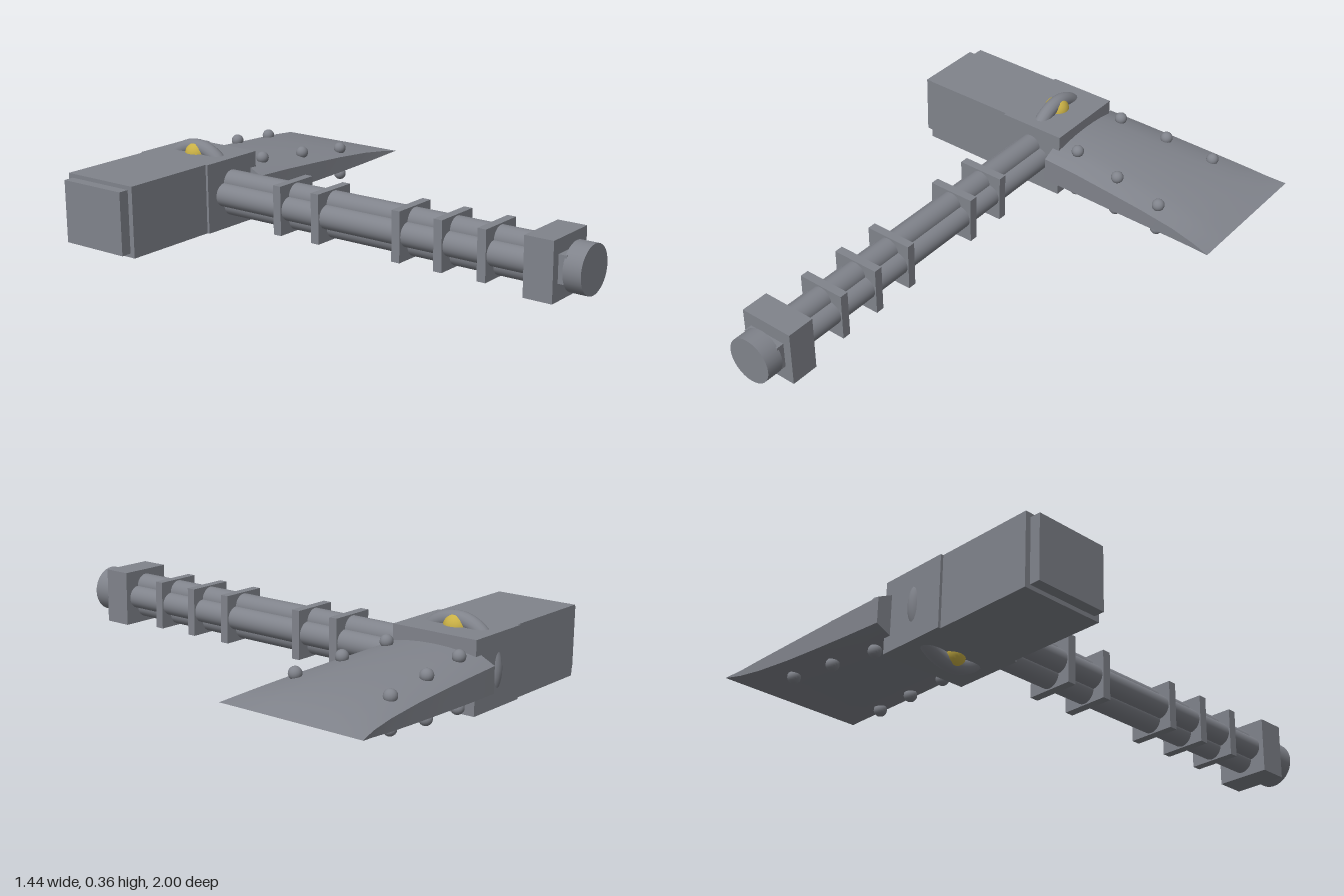
import * as THREE from 'three';
import { toCreasedNormals } from 'three/addons/utils/BufferGeometryUtils.js';

const AX = -0.168, AY = 0.188, HZ = -0.72; // shaft axis and head centre

// Blade: lens-shaped cross-sections swept along x to a sharp edge
function bladeGeometry() {
  // x, back z, front z, half thickness at the middle
  const stations = [
    [-0.06, -0.945, -0.5, 0.092], [0.1, -0.952, -0.493, 0.084], [0.25, -0.958, -0.483, 0.073],
    [0.4, -0.965, -0.473, 0.06], [0.55, -0.975, -0.46, 0.041], [0.65, -0.985, -0.445, 0.02],
    [0.72, -1.0, -0.43, 0.0005],
  ];
  const n = 9, ring = n * 2, pos = [], idx = [];
  for (const [x, z0, z1, h] of stations) {
    for (let i = 0; i < ring; i++) {
      const top = i < n, t = (top ? i : ring - 1 - i) / (n - 1);
      const y = h * (0.52 + 0.48 * Math.sqrt(Math.sin(Math.PI * t) + 1e-9));
      pos.push(x, AY + (top ? y : -y), z0 + (z1 - z0) * t);
    }
  }
  for (let s = 0; s < stations.length - 1; s++) {
    for (let i = 0; i < ring; i++) {
      const j = (i + 1) % ring, a = s * ring + i, b = s * ring + j;
      idx.push(a, b, a + ring, b, b + ring, a + ring);
    }
  }
  // Close the root
  const c = pos.length / 3;
  pos.push(-0.06, AY, HZ);
  for (let i = 0; i < ring; i++) idx.push(c, (i + 1) % ring, i);
  const g = new THREE.BufferGeometry();
  g.setAttribute('position', new THREE.Float32BufferAttribute(pos, 3));
  g.setIndex(idx);
  return toCreasedNormals(g, 0.4);
}

export function createModel() {
  const model = new THREE.Group();
  const steel = new THREE.MeshStandardMaterial({ color: 0x80838b });
  steel.name = 'steel grey';
  const gold = new THREE.MeshStandardMaterial({ color: 0xc9b045 });
  gold.name = 'gold';

  const add = (name, geo, mat, x, y, z) => {
    const m = new THREE.Mesh(geo, mat);
    m.name = name;
    m.position.set(x, y, z);
    model.add(m);
    return m;
  };
  // Box given by its extents
  const box = (name, x0, x1, y0, y1, z0, z1) =>
    add(name, new THREE.BoxGeometry(x1 - x0, y1 - y0, z1 - z0), steel,
      (x0 + x1) / 2, (y0 + y1) / 2, (z0 + z1) / 2);
  // Cylinder along z
  const rod = (name, r, x, y, z0, z1) =>
    add(name, new THREE.CylinderGeometry(r, r, z1 - z0, 32).rotateX(Math.PI / 2), steel,
      x, y, (z0 + z1) / 2);

  // Head
  box('socket', -0.3, -0.03, 0.055, 0.32, -0.89, -0.55);
  box('hammerBlock', -0.68, -0.3, 0.055, 0.32, -0.88, -0.56);
  box('hammerFace', -0.72, -0.68, 0.07, 0.305, -0.86, -0.58);
  add('blade', bladeGeometry(), steel, 0, 0, 0);

  // Ring through the socket with a gold bead above and below
  add('socketRing', new THREE.TorusGeometry(0.153, 0.029, 16, 48).rotateY(Math.PI / 2), steel, AX, AY, HZ);
  for (const s of [1, -1]) {
    add('bead', new THREE.SphereGeometry(0.05, 24, 16), gold, AX, AY + s * 0.125, HZ);
  }

  // Studs on both faces of the blade: x, height from the middle, back z, front z
  const stud = new THREE.SphereGeometry(0.024, 16, 12);
  for (const [x, dy, zb, zf] of [
    [0.04, 0.088, -0.87, -0.575], [0.245, 0.072, -0.887, -0.545], [0.45, 0.053, -0.897, -0.515],
  ]) {
    for (const s of [1, -1]) {
      for (const z of [zb, zf]) add('stud', stud, steel, x, AY + s * dy, z);
    }
  }

  // Shaft: four bundled rods, held by square bands
  for (let i = 0; i < 4; i++) {
    const a = i * Math.PI / 2;
    rod('shaftRod', 0.045, AX + 0.043 * Math.cos(a), AY + 0.043 * Math.sin(a), -0.58, 0.81);
  }
  for (const z of [-0.25, -0.075, 0.28, 0.455, 0.63]) {
    box('shaftBand', AX - 0.093, AX + 0.093, AY - 0.093, AY + 0.093, z - 0.017, z + 0.017);
  }

  // Pommel
  box('pommelBlock', AX - 0.107, AX + 0.107, AY - 0.107, AY + 0.107, 0.8, 0.91);
  box('pommelNeck', AX - 0.075, AX + 0.075, AY - 0.045, AY + 0.055, 0.9, 0.94);
  rod('pommelCap', 0.088, AX, AY, 0.933, 1.0);

  return model;
}
